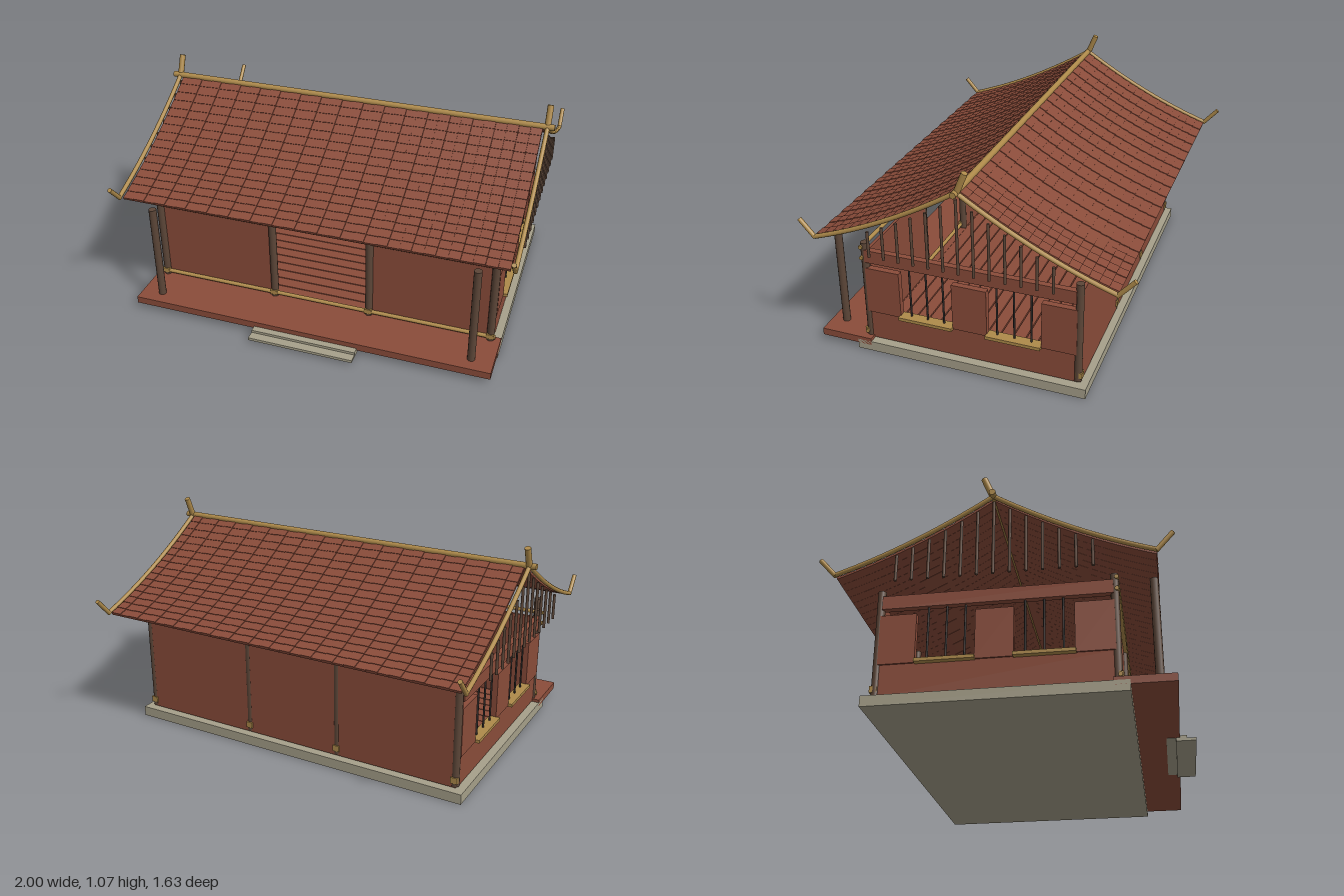
import * as THREE from 'three';

const mat = (name, color, side = THREE.FrontSide) => {
  const m = new THREE.MeshStandardMaterial({ color, side });
  m.name = name;
  return m;
};

export function createModel() {
  const red = mat('red timber', 0x8a4c3a);
  const dark = mat('dark timber', 0x5c4638);
  const gold = mat('golden bamboo', 0xae8a4a);
  const stone = mat('stone', 0xa6a08a);
  const iron = mat('window bars', 0x35302e);

  const model = new THREE.Group();
  model.name = 'pavilion';
  const add = (name, geometry, material) => {
    const mesh = new THREE.Mesh(geometry, material);
    mesh.name = name;
    model.add(mesh);
    return mesh;
  };
  // Box given by its extents on each axis
  const box = (name, m, [x0, x1], [y0, y1], [z0, z1]) => {
    const g = new THREE.BoxGeometry(Math.abs(x1 - x0), y1 - y0, z1 - z0);
    add(name, g, m).position.set((x0 + x1) / 2, (y0 + y1) / 2, (z0 + z1) / 2);
  };
  // Round pole between two points
  const pole = (name, m, r, a, b, sides = 12) => {
    const p = new THREE.Vector3(...a), q = new THREE.Vector3(...b);
    const mesh = add(name, new THREE.CylinderGeometry(r, r, p.distanceTo(q), sides), m);
    mesh.position.copy(p).lerp(q, 0.5);
    mesh.quaternion.setFromUnitVectors(new THREE.Vector3(0, 1, 0), q.sub(p).normalize());
  };

  // Stone base, porch deck and steps
  box('stoneBase', stone, [-0.91, 0.91], [0, 0.05], [-0.59, 0.55]);
  box('porchDeck', red, [-0.91, 0.91], [0.03, 0.066], [0.48, 0.742]);
  box('upperStep', stone, [-0.265, 0.265], [0.028, 0.041], [0.68, 0.775]);
  box('lowerStep', stone, [-0.265, 0.265], [0.014, 0.028], [0.725, 0.818]);

  // Floor boards
  for (let i = 0; i < 16; i++) {
    const z = -0.53 + i * 0.0635;
    box('floorBoard', red, [-0.86, 0.86], [0.045, 0.064], [z, z + 0.058]);
  }

  // Front and back walls
  for (const s of [-1, 1]) {
    box('frontWall', red, [s * 0.25, s * 0.865], [0.066, 0.53], [0.485, 0.5]);
  }
  for (let i = 0; i < 3; i++) {
    const x = [-0.87, -0.25, 0.25, 0.87];
    box('backWallPanel', red, [x[i] + 0.001, x[i + 1] - 0.001], [0.055, 0.535], [-0.555, -0.54]);
  }
  box('doorLintel', dark, [-0.27, 0.27], [0.505, 0.54], [0.48, 0.505]);

  // Columns, with golden pegs at the back
  for (const x of [-0.86, -0.25, 0.25, 0.86]) {
    pole('frontColumn', dark, 0.019, [x, 0.06, 0.5], [x, 0.572, 0.5]);
    pole('backColumn', dark, 0.019, [x, 0.06, -0.54], [x, 0.572, -0.54]);
    box('columnPeg', gold, [x - 0.017, x + 0.017], [0.078, 0.108], [-0.563, -0.53]);
    box('columnPeg', gold, [x - 0.018, x + 0.018], [0.08, 0.105], [0.5, 0.523]);
  }
  for (const s of [-1, 1]) {
    pole('porchColumn', dark, 0.019, [s * 0.803, 0.06, 0.67], [s * 0.803, 0.57, 0.67]);
  }

  // Golden rails along the front
  for (const y of [0.088, 0.495, 0.552]) {
    pole('frontRail', gold, 0.01, [-0.885, y, 0.51], [0.885, y, 0.51]);
  }

  // Side walls with two barred windows each
  for (const s of [-1, 1]) {
    const wall = [s * 0.855, s * 0.872];
    box('sideWallBase', red, wall, [0.055, 0.205], [-0.54, 0.5]);
    box('sideTopBeam', red, [s * 0.852, s * 0.882], [0.475, 0.54], [-0.53, 0.495]);
    for (const [z0, z1] of [[-0.535, -0.37], [-0.108, 0.062], [0.325, 0.497]]) {
      box('sideWallPanel', red, [s * 0.85, s * 0.88], [0.205, 0.443], [z0, z1]);
    }
    for (const [z0, z1] of [[-0.37, -0.105], [0.06, 0.33]]) {
      box('windowSill', gold, [s * 0.845, s * 0.9], [0.201, 0.217], [z0, z1]);
      for (let i = 1; i < 4; i++) {
        const z = z0 + 0.05 + (i - 1) * 0.083;
        pole('windowBar', iron, 0.005, [s * 0.865, 0.21, z], [s * 0.865, 0.478, z], 8);
      }
    }
  }

  // Low table inside
  box('tableTop', red, [-0.58, -0.13], [0.177, 0.196], [-0.34, -0.06]);
  for (const x of [-0.54, -0.175]) for (const z of [-0.3, -0.1]) {
    box('tableLeg', dark, [x - 0.009, x + 0.009], [0.06, 0.177], [z - 0.009, z + 0.009]);
  }

  // Sagging roof slopes, drawn as (z, y) curves from ridge to eave
  const ridgeZ = -0.02, ridgeY = 0.965;
  const slope = (s) => new THREE.QuadraticBezierCurve(
    new THREE.Vector2(ridgeZ, ridgeY),
    new THREE.Vector2(ridgeZ + s * 0.355, 0.735),
    new THREE.Vector2(ridgeZ + s * 0.71, 0.618));
  const rows = 16, strips = 34, pitch = 1.89 / strips;
  for (const s of [-1, 1]) {
    const curve = slope(s);
    const at = (t, lift) => {
      const p = curve.getPoint(t), d = curve.getTangent(t);
      return new THREE.Vector2(p.x - s * d.y * lift, p.y + s * d.x * lift);
    };
    for (const odd of [0, 1]) {
      // Overlapping tile rows form a finely stepped top
      const outline = [];
      for (let i = 0; i < rows; i++) {
        outline.push(at(i / rows, 0.002 + odd * 0.003), at((i + 1) / rows, 0.005 + odd * 0.003));
      }
      for (let i = rows; i >= 0; i--) outline.push(at(i / rows, -0.007));
      const strip = new THREE.ExtrudeGeometry(new THREE.Shape(outline),
        { depth: pitch - 0.001, bevelEnabled: false });
      strip.translate(0, 0, -pitch / 2).rotateY(-Math.PI / 2);
      for (let i = odd; i < strips; i += 2) {
        add('roofStrip', strip, red).position.x = -0.945 + (i + 0.5) * pitch;
      }
    }
  }

  // Ridge pole, gable rails, upturned tips and ridge finials
  pole('ridgePole', gold, 0.015, [-1, 0.968, ridgeZ], [1, 0.968, ridgeZ]);
  for (const x of [-0.965, 0.965]) {
    for (const s of [-1, 1]) {
      const pts = slope(s).getPoints(12).map((p) => new THREE.Vector3(x, p.y + 0.002, p.x));
      add('gableRail', new THREE.TubeGeometry(new THREE.CatmullRomCurve3(pts), 24, 0.011, 10), gold);
      pole('upturnedTip', gold, 0.011, [x, 0.615, ridgeZ + s * 0.707], [x, 0.7, ridgeZ + s * 0.782]);
    }
    pole('ridgeFinial', gold, 0.015, [x, 0.96, ridgeZ], [x, 1.064, ridgeZ - 0.043]);

    // Hanging gable slats
    for (let i = -6; i <= 6; i++) {
      const t = Math.abs(i) * 0.0725 / 0.71;
      const top = slope(1).getPoint(t).y - 0.03;
      const z = ridgeZ + 0.003 + i * 0.0725;
      pole('gableSlat', dark, 0.007, [x, 0.566, z], [x, top, z], 8);
    }
  }
  return model;
}
